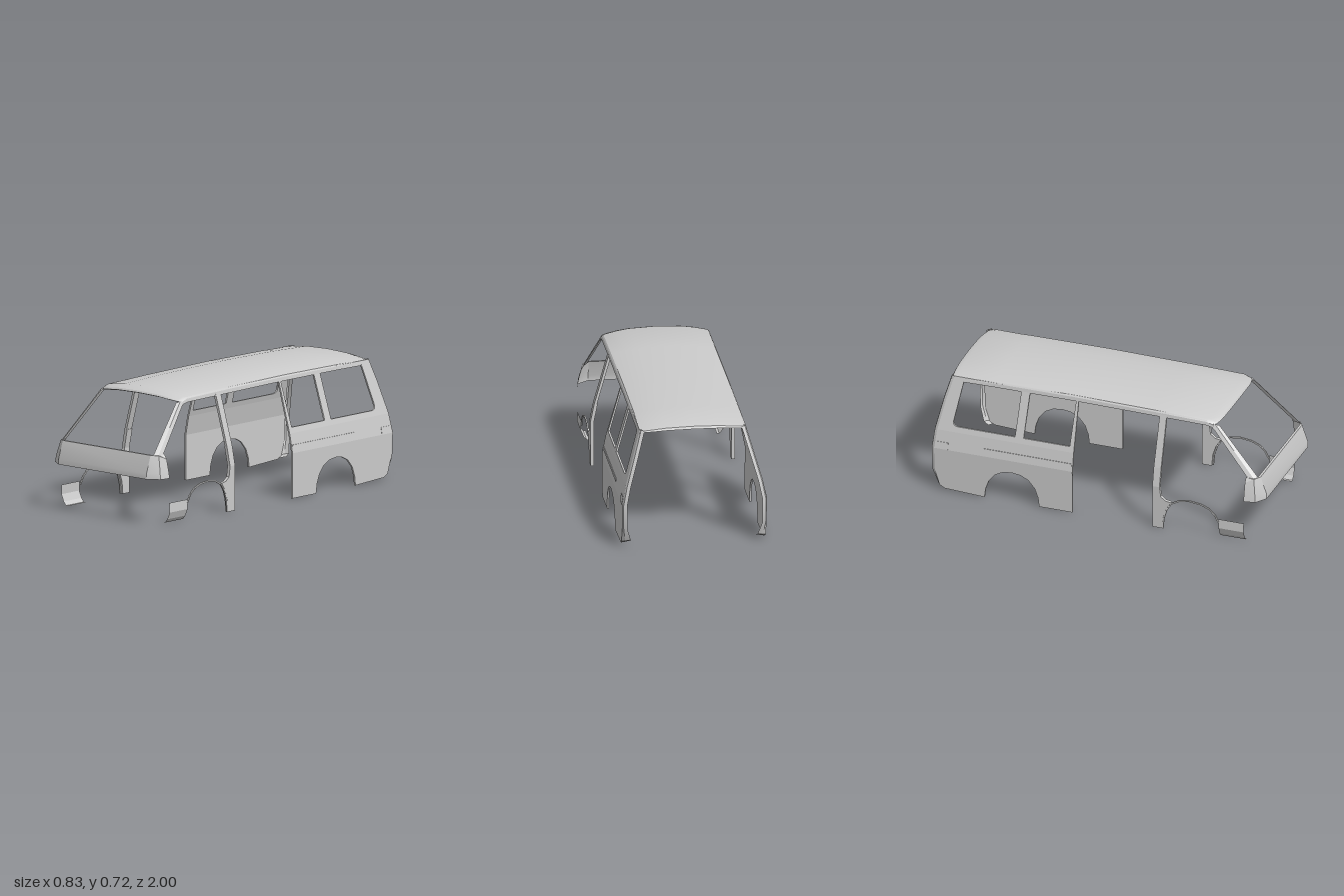
import * as THREE from 'three';
import { toCreasedNormals } from 'three/addons/utils/BufferGeometryUtils.js';
import { ConvexGeometry } from 'three/addons/geometries/ConvexGeometry.js';

const material = new THREE.MeshStandardMaterial({ color: 0xcccccc, side: THREE.DoubleSide });

function part(name, geometry, angle = 0.5) {
  const mesh = new THREE.Mesh(toCreasedNormals(geometry, angle), material);
  mesh.name = name;
  return mesh;
}

// Half width of the body at a height
const PROFILE = [[0, 0.411], [0.26, 0.413], [0.37, 0.391], [0.7, 0.297]];
function halfWidth(y) {
  let i = 1;
  while (i < PROFILE.length - 1 && y > PROFILE[i][0]) i++;
  const [y0, x0] = PROFILE[i - 1], [y1, x1] = PROFILE[i];
  return x0 + (x1 - x0) * (y - y0) / (y1 - y0);
}

const vectors = (points) => points.map(([a, b]) => new THREE.Vector2(a, b));

// Thin panel drawn as (z, y) outline and laid on the body side
function panel(name, outline, holes = [], depth = 0.011, lift = 0) {
  const shape = new THREE.Shape(vectors(outline));
  holes.forEach((h) => shape.holes.push(h));
  const g = new THREE.ExtrudeGeometry(shape, { depth, bevelEnabled: false, curveSegments: 5 });
  const p = g.attributes.position;
  for (let i = 0; i < p.count; i++) {
    const z = p.getX(i), y = p.getY(i), d = p.getZ(i);
    p.setXYZ(i, halfWidth(y) + lift - d, y, z);
  }
  g.computeVertexNormals();
  return part(name, g);
}

// Window opening with rounded corners, from four (z, y) corners and their radii
function opening(corners, radii) {
  const pts = vectors(corners), path = new THREE.Path();
  pts.forEach((c, i) => {
    const before = pts[(i + 3) % 4].clone().sub(c).setLength(radii[i]).add(c);
    const after = pts[(i + 1) % 4].clone().sub(c).setLength(radii[i]).add(c);
    if (i) path.lineTo(before.x, before.y); else path.moveTo(before.x, before.y);
    path.quadraticCurveTo(c.x, c.y, after.x, after.y);
  });
  path.closePath();
  return path;
}

// Surface through rows of points
function loft(name, rows, angle) {
  const n = rows[0].length, index = [];
  for (let r = 0; r < rows.length - 1; r++) {
    for (let c = 0; c < n - 1; c++) {
      const a = r * n + c, b = a + n;
      index.push(a, b, a + 1, a + 1, b, b + 1);
    }
  }
  const g = new THREE.BufferGeometry();
  g.setAttribute('position', new THREE.Float32BufferAttribute(rows.flat(2), 3));
  g.setIndex(index);
  g.computeVertexNormals();
  return part(name, g, angle);
}

function roof() {
  // x, drop below crown, how far toward the edge
  const half = [[0, 0, 0], [0.15, 0.006, 0.1], [0.22, 0.017, 0.25], [0.285, 0.029, 0.7],
    [0.298, 0.033, 1], [0.305, 0.042, 1], [0.309, 0.064, 1]];
  const section = [...half.slice(1).reverse().map(([x, ...rest]) => [-x, ...rest]), ...half];
  // z at middle, z at edge, crown height, drop factor
  const rows = [[0.685, 0.66, 0.671, 0.62], [0.705, 0.67, 0.678, 0.66], [0.698, 0.66, 0.688, 0.72],
    [0.65, 0.625, 0.706, 0.88], [0.3, 0.3, 0.716, 0.98], [-0.2, -0.2, 0.722, 1],
    [-0.65, -0.65, 0.715, 0.92], [-0.89, -0.875, 0.704, 0.8], [-0.92, -0.905, 0.694, 0.65],
    [-0.926, -0.912, 0.679, 0.4]];
  return loft('roof', rows.map(([zm, ze, crown, f]) =>
    section.map(([x, drop, t]) => [x, crown - drop * f, zm + (ze - zm) * t])), 0.45);
}

function frontPanel() {
  // Columns of the nose from the middle outward: bottom, break, top and inner lip
  const columns = [
    [[0.335, 0.262, 0.998], [0.335, 0.293, 0.997], [0.335, 0.395, 0.962], [0.335, 0.395, 0.948]],
    [[0.402, 0.262, 0.952], [0.397, 0.3, 0.95], [0.374, 0.392, 0.935], [0.362, 0.395, 0.928]],
    [[0.413, 0.262, 0.887], [0.406, 0.3, 0.887], [0.39, 0.37, 0.887], [0.372, 0.398, 0.887]],
  ];
  const right = columns.map((c) => c.map(([x, y, z]) => [-x, y, z]));
  return loft('frontPanel', [...columns.reverse(), ...right].map((c) => c.reverse()), 0.3);
}

function bodySide() {
  const side = new THREE.Group();

  // Rear quarter: edge line of the back corner as (z, y)
  const corner = [[-0.915, 0.012], [-0.945, 0.03], [-0.974, 0.12], [-0.978, 0.26], [-0.967, 0.37],
    [-0.93, 0.55], [-0.896, 0.68]];
  const rearArch = [[-0.345, 0], [-0.352, 0.055], [-0.372, 0.11], [-0.41, 0.155], [-0.455, 0.178],
    [-0.51, 0.186], [-0.565, 0.178], [-0.61, 0.155], [-0.648, 0.11], [-0.668, 0.055], [-0.675, 0]];
  side.add(
    panel('rearLowerPanel', [[-0.145, 0.26], [-0.145, 0], ...rearArch, ...corner.slice(0, 4)]),
    panel('rearWaistPanel', [[-0.145, 0.37], [-0.145, 0.26], corner[3], corner[4]]),
    panel('rearWindowFrame', [[-0.145, 0.68], [-0.145, 0.37], ...corner.slice(4)], [
      opening([[-0.172, 0.402], [-0.45, 0.402], [-0.438, 0.664], [-0.16, 0.664]], [0.004, 0.004, 0.004, 0.004]),
      opening([[-0.502, 0.402], [-0.88, 0.402], [-0.836, 0.664], [-0.49, 0.664]], [0.004, 0.035, 0.01, 0.004]),
    ]),
  );

  // Rounded back corner, tucked under at the bottom
  side.add(loft('rearCorner', corner.map(([z, y]) => {
    const x = halfWidth(y), tuck = Math.max(0, 0.1 - y) * 0.32;
    return [[x, y, z], [x - 0.007 - tuck * 0.5, y + tuck * 0.3, z - 0.016],
      [x - 0.027 - tuck, y + tuck * 0.6, z - 0.022]];
  }), 0.6));

  // Sliding door rail and small flap
  side.add(
    panel('doorRail', [[-0.15, 0.292], [-0.685, 0.292], [-0.685, 0.306], [-0.15, 0.306]], [], 0.008, 0.003),
    panel('flap', [[-0.895, 0.262], [-0.97, 0.262], [-0.968, 0.302], [-0.895, 0.302]], [], 0.006, 0.002),
  );

  // Centre pillar
  side.add(
    panel('pillarFoot', [[0.338, 0], [0.396, 0], [0.402, 0.07], [0.42, 0.125], [0.45, 0.172],
      [0.415, 0.178], [0.388, 0.2], [0.38, 0.26], [0.338, 0.26]], [], 0.02),
    panel('pillarWaist', [[0.338, 0.26], [0.38, 0.26], [0.382, 0.37], [0.338, 0.37]], [], 0.02),
    panel('pillarUpper', [[0.338, 0.37], [0.382, 0.37], [0.385, 0.675], [0.343, 0.675]], [], 0.016),
  );

  // Front wheel arch trim
  const frontArch = [[0.74, 0.1], [0.715, 0.145], [0.68, 0.178], [0.63, 0.198], [0.56, 0.206],
    [0.5, 0.197], [0.45, 0.17], [0.42, 0.125], [0.402, 0.065], [0.396, 0]];
  const trimInner = frontArch.map(([z, y]) => [0.56 + (z - 0.56) * 0.96, y * 0.96]);
  side.add(panel('frontArchTrim', [...frontArch, ...trimInner.reverse()], [], 0.008));

  // Step panel ahead of the front wheel
  const step = [[0.41, 0.12], [0.413, 0.065], [0.396, 0.025], [0.378, 0.004], [0.364, 0.003]];
  side.add(loft('frontStep', [0.737, 0.888].map((z) => step.map(([x, y]) => [x, y, z])), 0.2));

  // Windscreen pillar
  side.add(part('windscreenPillar', new ConvexGeometry([
    [0.347, 0.393, 0.953], [0.368, 0.39, 0.935], [0.374, 0.393, 0.9], [0.356, 0.395, 0.912],
    [0.286, 0.652, 0.695], [0.3, 0.66, 0.675], [0.304, 0.66, 0.645], [0.291, 0.656, 0.655],
  ].map((p) => new THREE.Vector3(...p))), 0.2));
  return side;
}

export function createModel() {
  const model = new THREE.Group();
  model.name = 'vanBodyShell';
  const left = bodySide();
  left.name = 'leftSide';
  const right = left.clone();
  right.name = 'rightSide';
  right.scale.x = -1;
  model.add(roof(), frontPanel(), left, right);
  return model;
}
